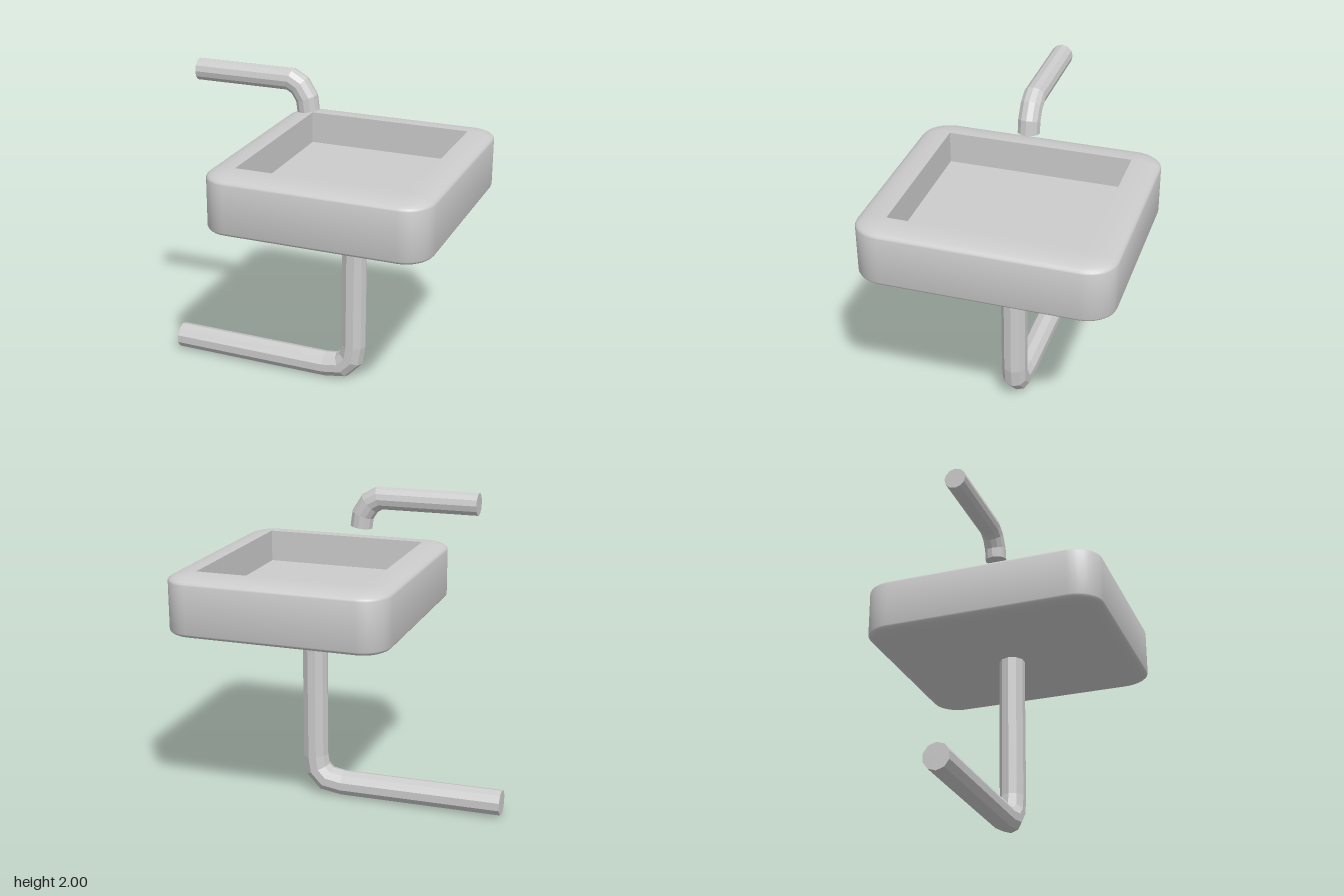
import * as THREE from 'three';
import { toCreasedNormals } from 'three/addons/utils/BufferGeometryUtils.js';

// Skin closed loops of points, leaving out collapsed triangles
function loft(loops) {
  const pos = [];
  const tri = (a, b, c) => {
    const area = b.clone().sub(a).cross(c.clone().sub(a)).length();
    if (area > 1e-9) pos.push(...a, ...b, ...c);
  };
  for (let j = 0; j < loops.length - 1; j++) {
    const low = loops[j], high = loops[j + 1], n = low.length;
    for (let i = 0; i < n; i++) {
      const k = (i + 1) % n;
      tri(low[i], high[i], high[k]);
      tri(low[i], high[k], low[k]);
    }
  }
  const geo = new THREE.BufferGeometry();
  geo.setAttribute('position', new THREE.Float32BufferAttribute(pos, 3));
  geo.computeVertexNormals();
  return geo;
}

// Capped round pipe with mitred bends along an x-y path
function pipe(name, path, radius, sides) {
  const pts = path.map(([x, y]) => new THREE.Vector2(x, y));
  const last = pts.length - 1;
  const ring = (i, r) => {
    const into = pts[Math.max(i, 1)].clone().sub(pts[Math.max(i, 1) - 1]).normalize();
    const out = pts[Math.min(i, last - 1) + 1].clone().sub(pts[Math.min(i, last - 1)]).normalize();
    const dir = into.clone().add(out).normalize();
    const stretch = 1 / dir.dot(into);
    return Array.from({ length: sides }, (_, s) => {
      const a = (s / sides) * Math.PI * 2;
      const n = Math.cos(a) * r * stretch;
      return new THREE.Vector3(pts[i].x - dir.y * n, pts[i].y + dir.x * n, -Math.sin(a) * r);
    });
  };
  const loops = [ring(0, 0), ...pts.map((_, i) => ring(i, radius)), ring(last, 0)];
  const mesh = new THREE.Mesh(loft(loops),
    new THREE.MeshStandardMaterial({ color: 0xcccccc, flatShading: true }));
  mesh.name = name;
  return mesh;
}

// Soft-edged basin: a rectangular core grown by an elliptical corner
function basin() {
  const cx = 0.265, coreX = 0.515, coreZ = 0.574, growX = 0.163, growZ = 0.179;
  const steps = 8;
  const loop = (grow, y, core = 1) => {
    const pts = [];
    for (let q = 0; q < 4; q++) {
      const sx = q === 0 || q === 3 ? 1 : -1, sz = q < 2 ? 1 : -1;
      for (let i = 0; i <= steps; i++) {
        const a = (q + i / steps) * Math.PI / 2;
        pts.push(new THREE.Vector3(
          cx + sx * coreX * core + Math.cos(a) * growX * grow, y,
          sz * coreZ * core + Math.sin(a) * growZ * grow));
      }
    }
    return pts;
  };
  const loops = [loop(0, 1.172, 0)];
  // underside edge, then outer wall and rim
  for (let i = 0; i <= steps; i++) {
    const a = (i / steps) * Math.PI / 2;
    loops.push(loop(Math.sin(a), 1.217 - 0.045 * Math.cos(a)));
  }
  for (let i = 0; i <= steps; i++) {
    const a = (i / steps) * Math.PI / 2;
    loops.push(loop(i === steps ? 0 : Math.cos(a), 1.505 + 0.045 * Math.sin(a)));
  }
  // inner wall and floor
  loops.push(loop(0, 1.35), loop(0, 1.35, 0));
  const mesh = new THREE.Mesh(toCreasedNormals(loft(loops), 0.7),
    new THREE.MeshStandardMaterial({ color: 0xcccccc }));
  mesh.name = 'basin';
  return mesh;
}

export function createModel() {
  const group = new THREE.Group();
  group.name = 'sink';
  group.add(
    basin(),
    pipe('drainPipe', [[-0.945, 0.093], [0.08, 0.085], [0.19, 0.102],
      [0.25, 0.165], [0.264, 0.26], [0.264, 1.2]], 0.08, 10),
    pipe('faucet', [[-0.75, 1.933], [-0.15, 1.933], [-0.092, 1.9],
      [-0.048, 1.83], [-0.038, 1.755]], 0.067, 12),
  );
  return group;
}
